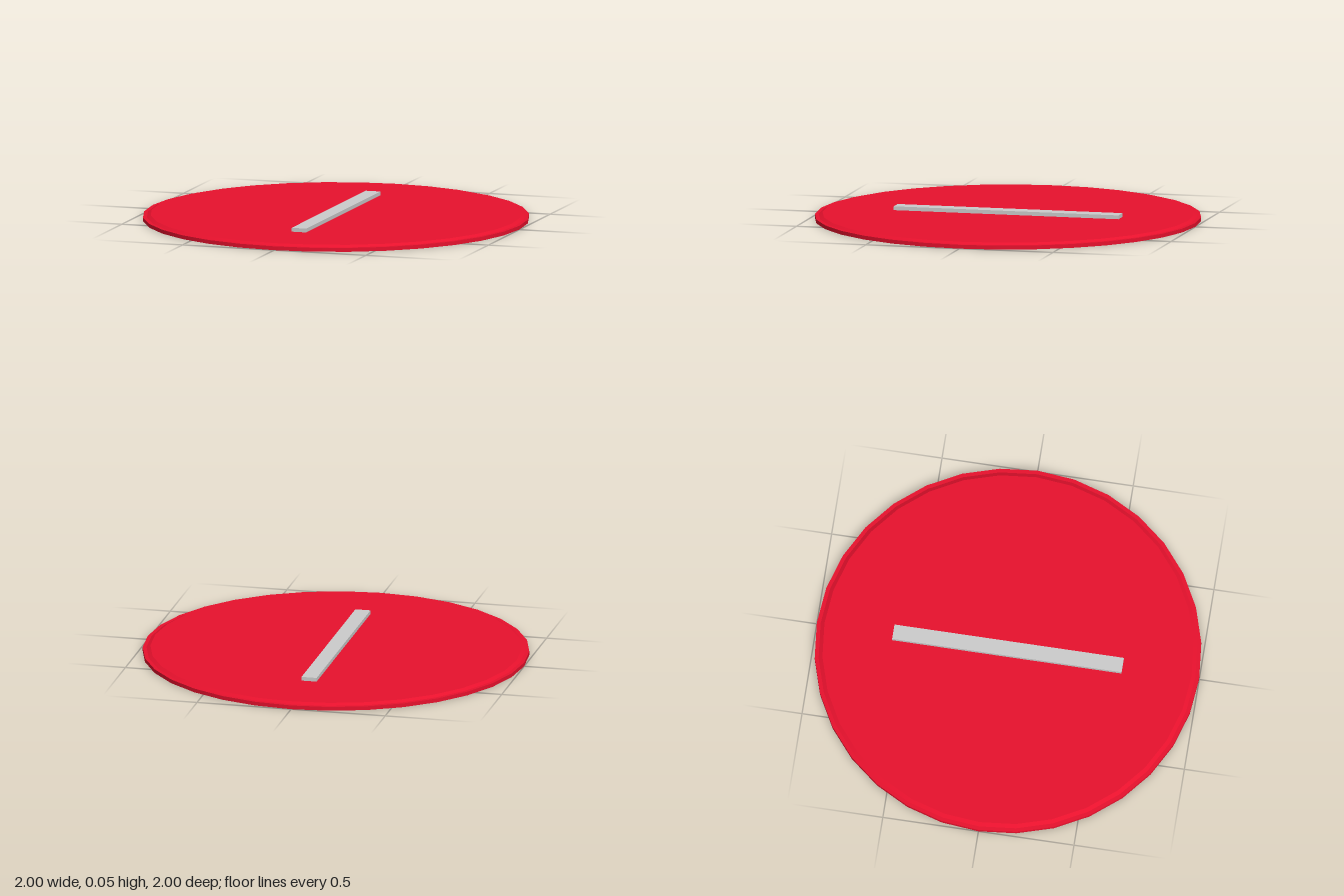
import * as THREE from 'three';

const SEGMENTS = 32;

export function createModel() {
  const model = new THREE.Group();
  const red = new THREE.MeshStandardMaterial({ color: 0xe8112d });
  const grey = new THREE.MeshStandardMaterial({ color: 0xcccccc });

  const add = (name, geometry, material, y) => {
    const mesh = new THREE.Mesh(geometry, material);
    mesh.name = name;
    mesh.position.y = y;
    model.add(mesh);
  };

  // Flat round base with an upright edge
  add('baseDisc', new THREE.CylinderGeometry(1, 1, 0.02, SEGMENTS), red, 0.01);

  // Slightly raised face with a bevelled edge
  add('raisedFace', new THREE.CylinderGeometry(0.96, 0.98, 0.01, SEGMENTS), red, 0.025);

  // Straight bar lying front to back across the middle
  add('centreBar', new THREE.BoxGeometry(0.08, 0.02, 1.2), grey, 0.04);

  return model;
}
